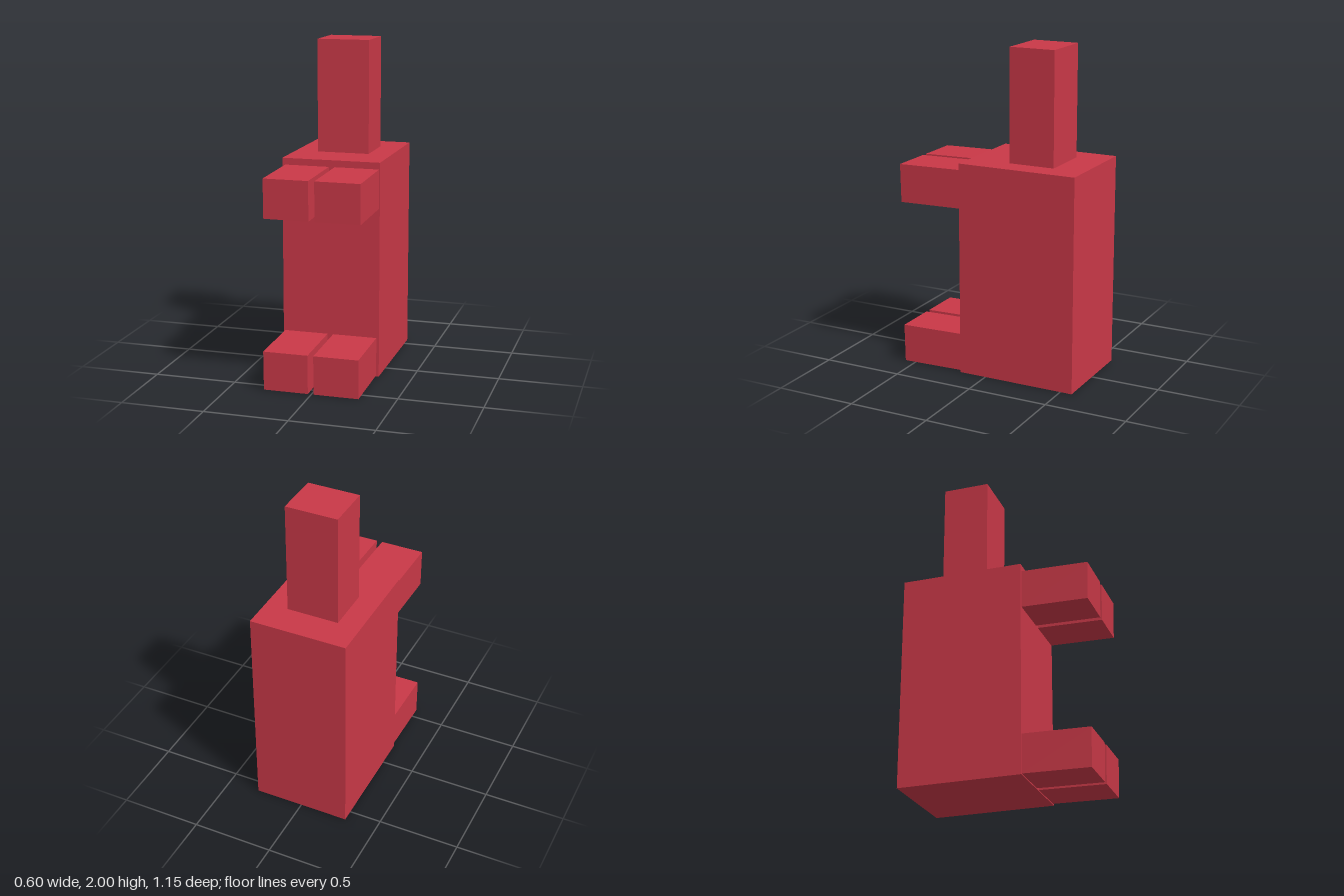
import * as THREE from 'three';

export function createModel() {
  const model = new THREE.Group();
  const material = new THREE.MeshStandardMaterial({ color: 0xc93847, flatShading: true });

  function block(name, size, center, tilt = 0) {
    const mesh = new THREE.Mesh(new THREE.BoxGeometry(...size), material);
    mesh.name = name;
    mesh.position.set(...center);
    mesh.rotation.x = tilt;
    model.add(mesh);
  }

  // Upright trunk and the narrow head block on top
  block('body', [0.6, 1.31, 0.745], [0, 0.66, -0.203]);
  block('head', [0.32, 0.685, 0.285], [0, 1.658, -0.237]);

  // Arms and legs reach forward, dipping slightly at the tips
  for (const [side, armX, legX] of [['right', -0.147, -0.156], ['left', 0.159, 0.149]]) {
    block(side + 'Arm', [0.27, 0.235, 0.41], [armX, 1.153, 0.368], 0.02);
    block(side + 'Leg', [0.27, 0.235, 0.41], [legX, 0.125, 0.368], 0.02);
  }
  return model;
}
